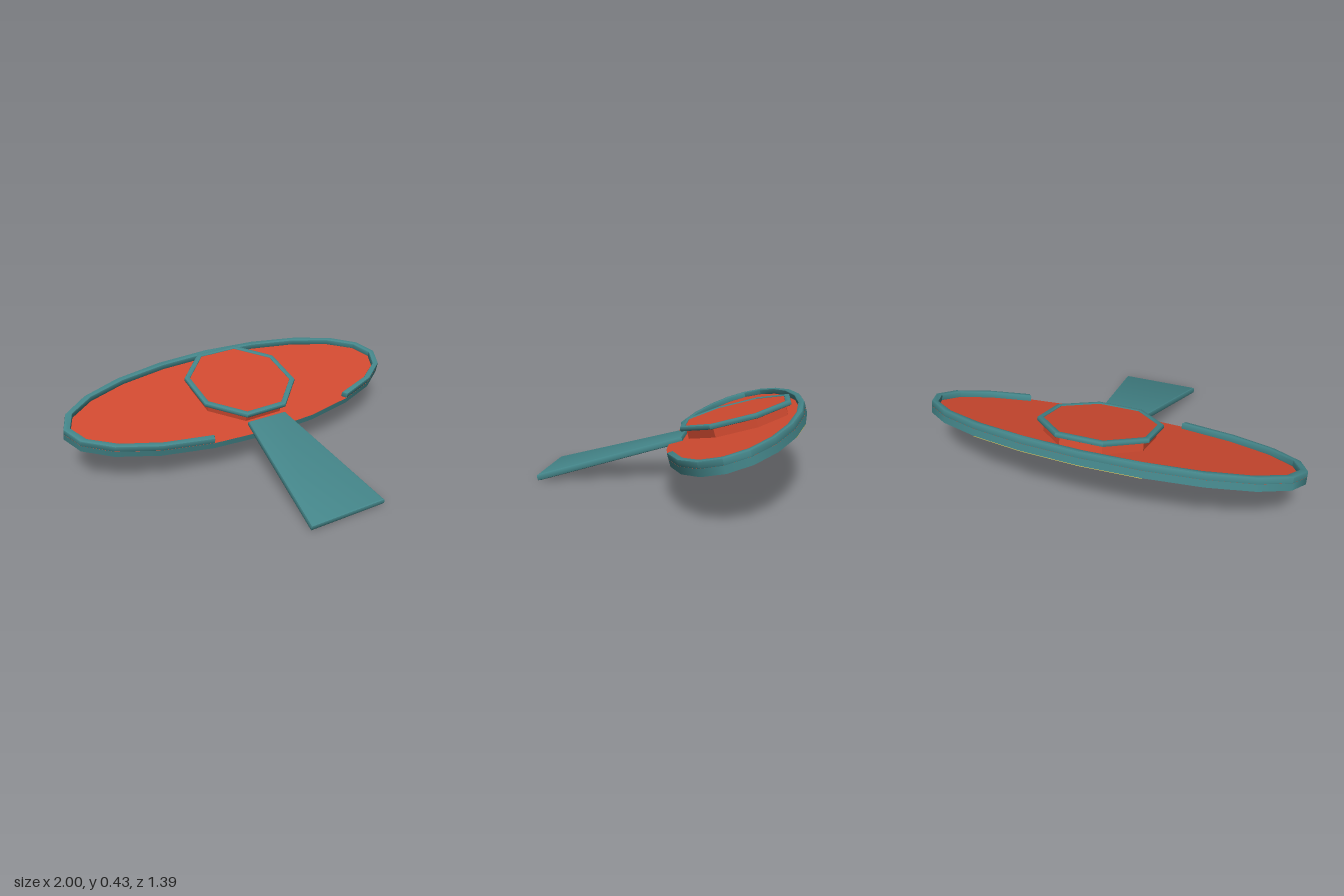
import * as THREE from 'three';
import { toCreasedNormals } from 'three/addons/utils/BufferGeometryUtils.js';

const mat = (name, color) => new THREE.MeshStandardMaterial({ name, color });

export function createModel() {
  const red = mat('red', 0xd04a30);
  const teal = mat('teal', 0x448589);
  const ochre = mat('ochre', 0xdcc654);

  const model = new THREE.Group();
  model.name = 'tiltedPlatform';
  const tilt = new THREE.Group();
  tilt.name = 'tiltedAssembly';
  tilt.rotation.x = Math.PI / 12;
  model.add(tilt);

  const add = (name, geometry, material) => {
    const mesh = new THREE.Mesh(geometry, material);
    mesh.name = name;
    tilt.add(mesh);
    return mesh;
  };

  // Flat slab from an [x, z] outline between two heights, with optional hole and bevel
  const toVectors = (pts) => pts.map(([x, z]) => new THREE.Vector2(x, -z));
  const slab = (pts, y0, y1, bevel = 0, hole = null) => {
    const shape = new THREE.Shape(toVectors(pts));
    if (hole) shape.holes.push(new THREE.Path(toVectors(hole)));
    const g = new THREE.ExtrudeGeometry(shape, {
      depth: y1 - y0 - 2 * bevel, bevelEnabled: bevel > 0,
      bevelSize: bevel, bevelThickness: bevel, bevelOffset: -bevel, bevelSegments: 2,
    });
    g.rotateX(-Math.PI / 2);
    g.translate(0, y0 + bevel, 0);
    return toCreasedNormals(g, 0.6);
  };

  // Points on the 20-sided oval, from step a to step b (step 0 faces the front)
  const discZ = -0.398;
  const oval = (a, b, rx, rz) => {
    const pts = [];
    for (let i = a; i <= b; i++) {
      const t = (i * Math.PI) / 10;
      pts.push([Math.sin(t) * rx, discZ + Math.cos(t) * rz]);
    }
    return pts;
  };

  // Oval floor with a teal edge
  const floor = new THREE.CylinderGeometry(1, 1, 0.036, 20);
  floor.scale(1, 1, 0.369);
  floor.translate(0, 0.172, discZ);
  add('ovalFloor', floor, [teal, red, red]);

  // Raised rim, open at the front
  const rim = [...oval(2, 19, 1, 0.369), ...oval(2, 19, 0.963, 0.336).reverse()];
  add('rim', slab(rim, 0.186, 0.222, 0.006), teal);

  // Patch under the back edge
  const patch = [...oval(8, 11, 0.998, 0.368), [-0.163, -0.58], [0.29, -0.538]];
  add('undersidePatch', slab(patch, 0.151, 0.155), ochre);

  // Octagonal hub with a framed top
  const hubX = 0.035, hubZ = -0.406;
  const octagon = (r) => {
    const pts = [];
    for (let i = 0; i < 8; i++) {
      const t = ((i + 0.5) * Math.PI) / 4 + 0.02;
      pts.push([hubX + r * Math.sin(t), hubZ + r * Math.cos(t)]);
    }
    return pts;
  };
  add('hubBase', slab(octagon(0.285), 0.188, 0.242), red);
  add('hubTop', slab(octagon(0.3), 0.24, 0.259), red);
  add('hubFrame', slab(octagon(0.318), 0.238, 0.264, 0.008, octagon(0.285)), teal);

  // Ramp widening toward the front
  const ramp = [[-0.073, -0.112], [0.163, -0.112], [0.282, 0.664], [-0.162, 0.664]];
  add('ramp', slab(ramp, 0.179, 0.212, 0.009), teal);

  return model;
}
